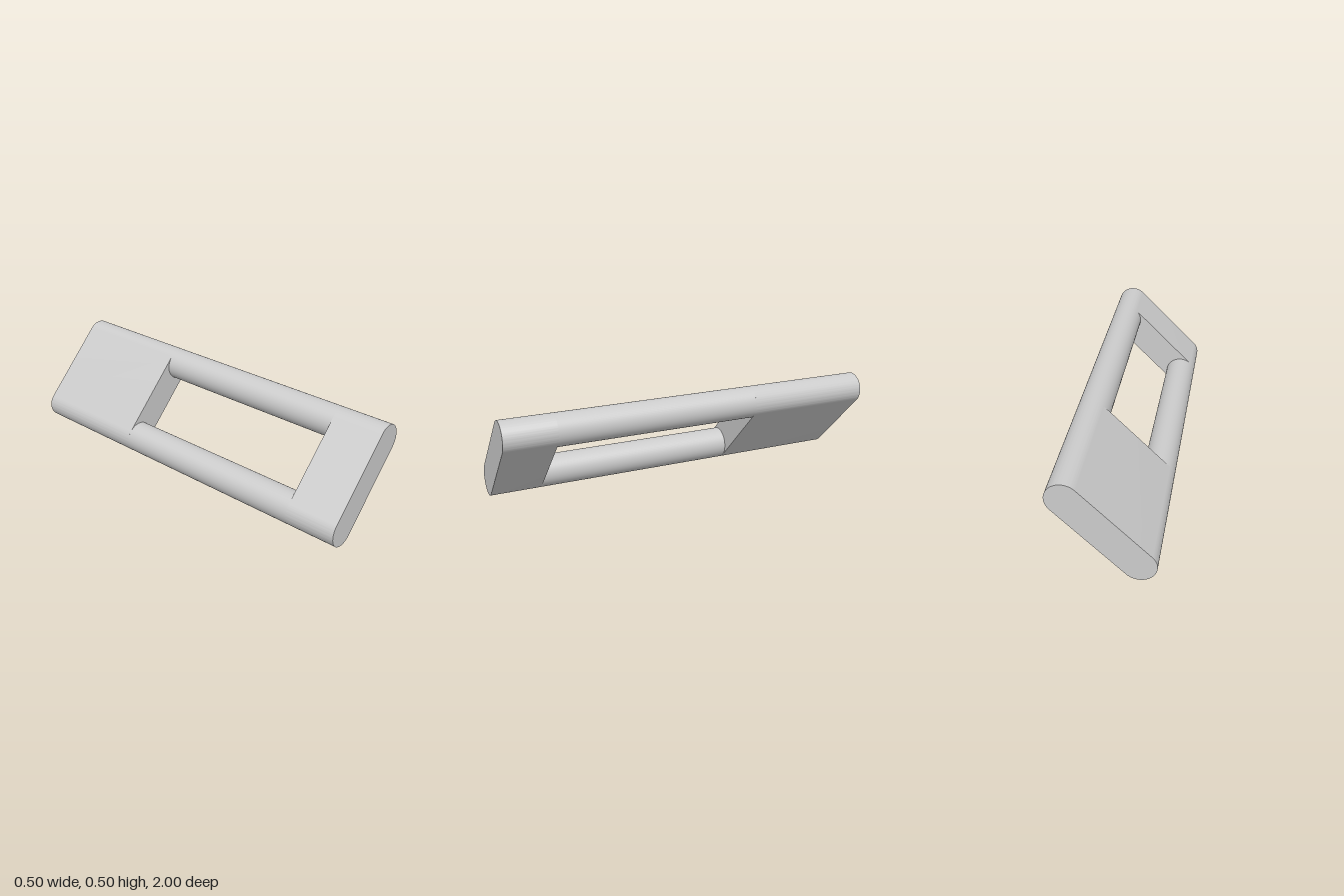
import * as THREE from 'three';
import { toCreasedNormals } from 'three/addons/utils/BufferGeometryUtils.js';

const R = 1 / 12;             // rod radius
const C = 1 / 6;              // rod offset from the centre line
const MID = 0.25;             // height of the centre
const SLOT_BACK = -0.335, SLOT_FRONT = 0.734;

export function createModel() {
  const group = new THREE.Group();
  const material = new THREE.MeshStandardMaterial({ color: 0xcccccc });

  const add = (geometry, name) => {
    const mesh = new THREE.Mesh(geometry, material);
    mesh.name = name;
    group.add(mesh);
    return mesh;
  };

  // Rounded bar section, tilted 45 degrees
  const section = new THREE.Shape();
  section.absarc(C, MID + C, R, -Math.PI / 4, Math.PI * 0.75, false);
  section.absarc(-C, MID - C, R, Math.PI * 0.75, Math.PI * 1.75, false);
  section.closePath();

  // Solid blocks at either end of the slot
  const addBlock = (z0, z1, name) => {
    const geometry = new THREE.ExtrudeGeometry(section, {
      depth: z1 - z0, bevelEnabled: false, curveSegments: 32,
    });
    add(toCreasedNormals(geometry, 0.5), name).position.z = z0;
  };
  addBlock(-1, SLOT_BACK, 'backBlock');
  addBlock(SLOT_FRONT, 1, 'frontBlock');

  // Round rods along both sides of the slot
  const length = SLOT_FRONT - SLOT_BACK;
  for (const [side, name] of [[1, 'upperRod'], [-1, 'lowerRod']]) {
    const geometry = new THREE.CylinderGeometry(R, R, length, 64, 1, true);
    geometry.rotateX(Math.PI / 2).rotateZ(Math.PI / 4);
    add(geometry, name).position.set(side * C, MID + side * C, (SLOT_FRONT + SLOT_BACK) / 2);
  }

  return group;
}
